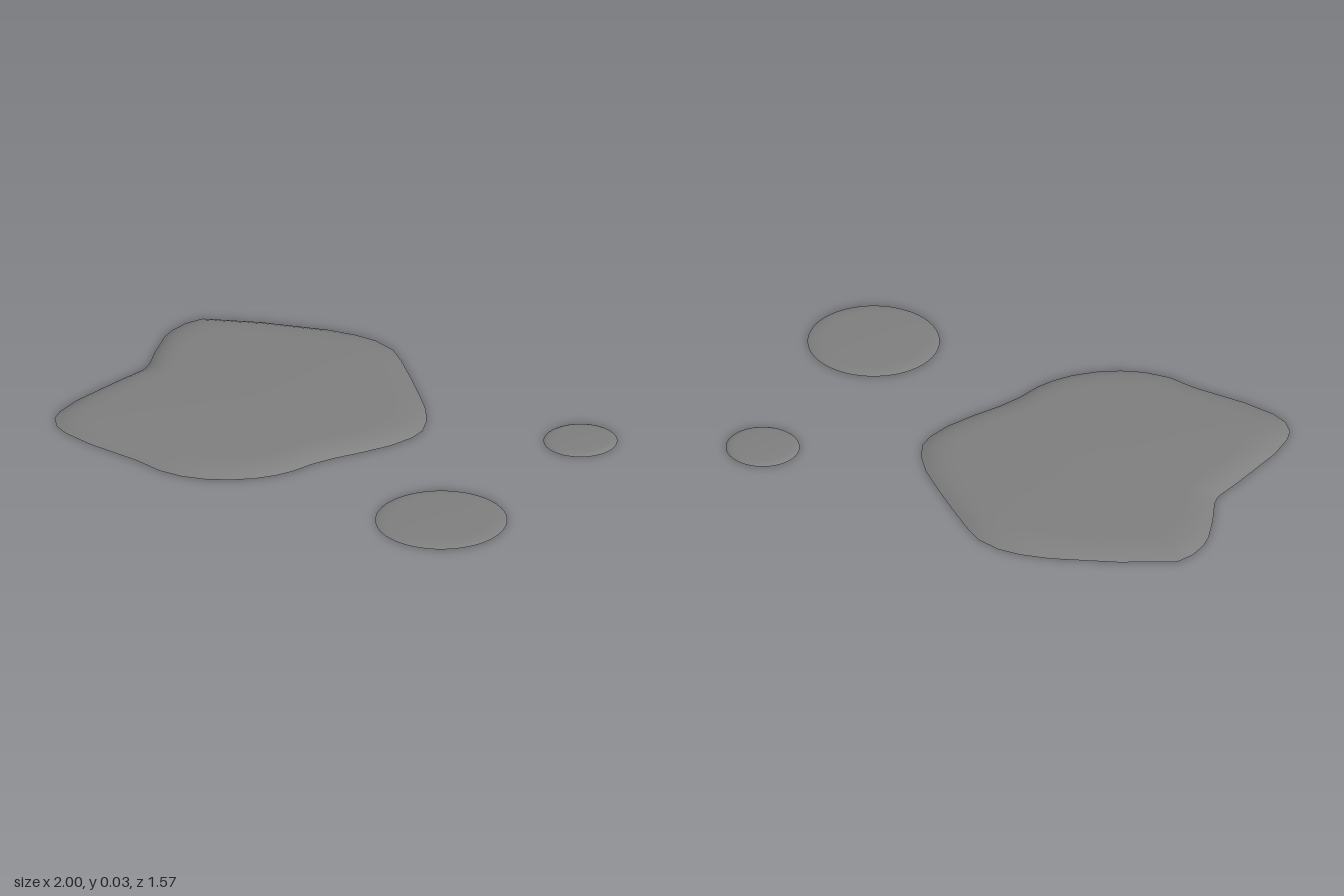
import * as THREE from 'three';

const material = new THREE.MeshStandardMaterial({ color: 0x808080, side: THREE.DoubleSide });

// Shallow dome: the outline shrinks toward its centre while rising along a profile of [scale, height]
function dome(name, outline, cx, cz, profile) {
  const n = outline.length, position = [], index = [];
  for (const [s, y] of profile)
    for (const p of outline) position.push(cx + (p.x - cx) * s, y, cz + (p.y - cz) * s);
  position.push(cx, profile[profile.length - 1][1] * 1.03, cz);
  const tip = profile.length * n;
  for (let r = 0; r < profile.length; r++) {
    for (let i = 0; i < n; i++) {
      const a = r * n + i, b = r * n + (i + 1) % n;
      // Outlines run from +x toward -z, so these corners face up
      if (r === profile.length - 1) index.push(a, b, tip);
      else index.push(a, b, a + n, b, b + n, a + n);
    }
  }
  const geometry = new THREE.BufferGeometry();
  geometry.setAttribute('position', new THREE.Float32BufferAttribute(position, 3));
  geometry.setIndex(index);
  geometry.computeVertexNormals();
  const mesh = new THREE.Mesh(geometry, material);
  mesh.name = name;
  return mesh;
}

function circle(cx, cz, r, n = 48) {
  return Array.from({ length: n }, (_, i) => {
    const a = -i / n * Math.PI * 2;
    return new THREE.Vector2(cx + r * Math.cos(a), cz + r * Math.sin(a));
  });
}

export function createModel() {
  const group = new THREE.Group();
  group.name = 'puddle';

  // Irregular shore of the main pool, as x, z pairs
  const shore = [
    [-0.77, -0.715], [-0.56, -0.76], [-0.31, -0.785], [-0.2, -0.78], [-0.115, -0.76], [-0.03, -0.71],
    [0.03, -0.635], [0.11, -0.515], [0.19, -0.39], [0.25, -0.29], [0.285, -0.2], [0.297, -0.12],
    [0.28, -0.055], [0.23, 0.03], [0.15, 0.12], [0.07, 0.2], [0.013, 0.27], [-0.035, 0.35],
    [-0.083, 0.405], [-0.147, 0.455], [-0.227, 0.495], [-0.313, 0.52], [-0.4, 0.527], [-0.495, 0.51],
    [-0.6, 0.46], [-0.8, 0.395], [-0.917, 0.34], [-0.97, 0.295], [-1, 0.235], [-1, 0.18],
    [-0.975, 0.075], [-0.93, -0.03], [-0.88, -0.145], [-0.83, -0.25], [-0.826, -0.295],
    [-0.842, -0.41], [-0.85, -0.53], [-0.842, -0.59], [-0.815, -0.66],
  ].reverse().map(([x, z]) => new THREE.Vector2(x, z));
  group.add(dome('mainPool', shore, -0.33, -0.13, [
    [1, 0], [0.97, 0.008], [0.94, 0.015], [0.9, 0.02], [0.85, 0.0245], [0.78, 0.027], [0.55, 0.029], [0.25, 0.031],
  ]));

  // Two round drops beside it
  const dropProfile = [[1, 0], [0.97, 0.003], [0.9, 0.007], [0.78, 0.0095], [0.4, 0.011]];
  group.add(dome('largeDrop', circle(0.61, 0.54, 0.241), 0.61, 0.54, dropProfile));
  group.add(dome('smallDrop', circle(0.865, -0.245, 0.135), 0.865, -0.245, dropProfile));
  return group;
}
